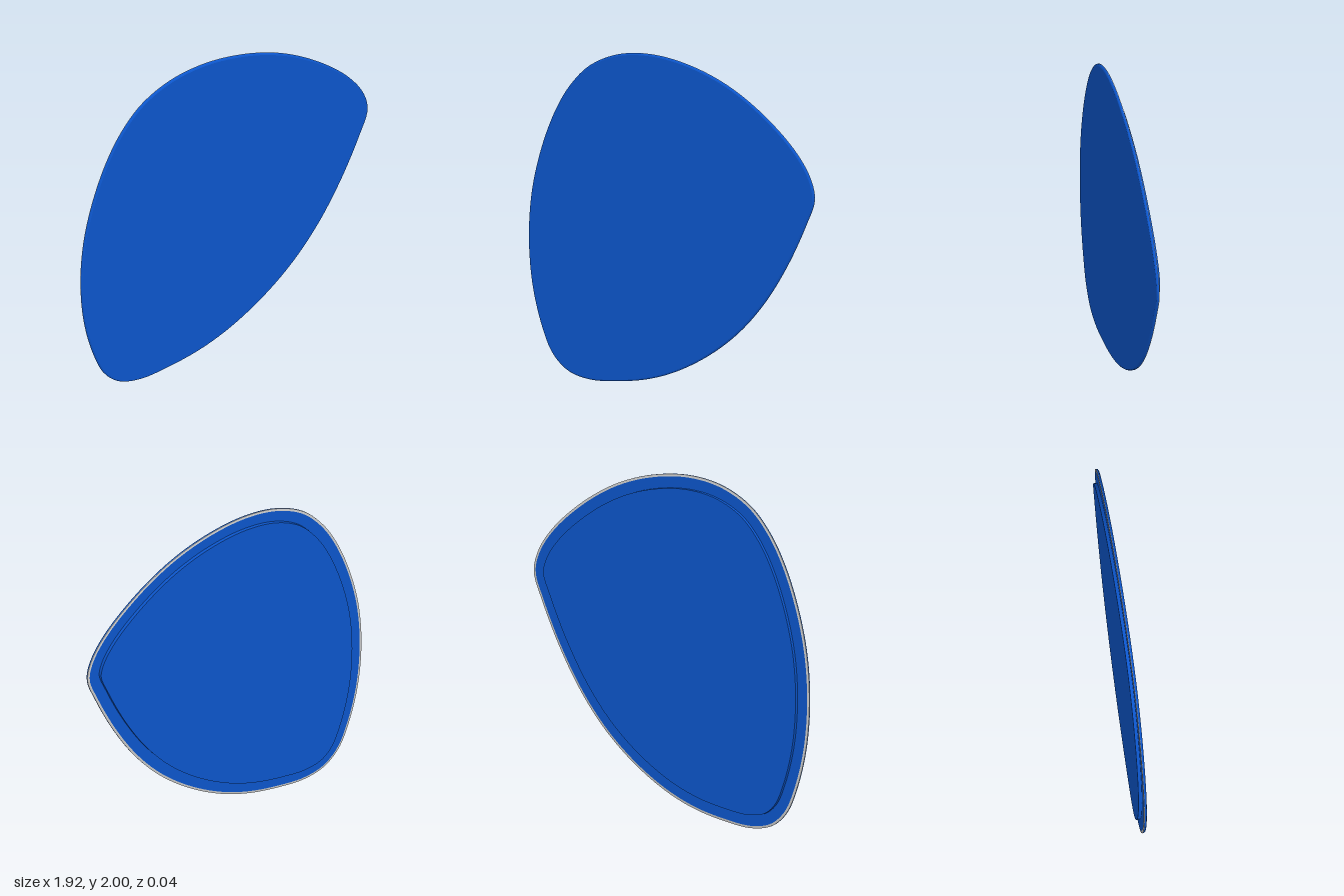
import * as THREE from 'three';
import { mergeGeometries } from 'three/addons/utils/BufferGeometryUtils.js';

// Rounded triangular outline, counterclockwise from the front
const OUTLINE = [
  [-0.13, 2.0], [-0.36, 1.965], [-0.55, 1.87], [-0.68, 1.735], [-0.78, 1.57], [-0.875, 1.33],
  [-0.94, 1.06], [-0.96, 0.78], [-0.935, 0.5], [-0.87, 0.26], [-0.8, 0.115], [-0.7, 0.03],
  [-0.56, 0.0], [-0.38, 0.017], [-0.17, 0.062], [0.03, 0.14], [0.25, 0.272], [0.45, 0.44],
  [0.62, 0.64], [0.77, 0.88], [0.9, 1.15], [0.957, 1.31], [0.93, 1.43], [0.83, 1.575],
  [0.62, 1.755], [0.38, 1.893], [0.13, 1.973],
];
const N = 180;
const CENTRE = 'centre';

const curve = new THREE.CatmullRomCurve3(
  OUTLINE.map(([x, y]) => new THREE.Vector3(x, y, 0)), true, 'centripetal');
const samples = Array.from({ length: N }, (_, i) => ({
  p: curve.getPointAt(i / N), t: curve.getTangentAt(i / N),
}));

// The outline moved inward by an inset (or collapsed to the middle) at depth z
function ring(inset, z) {
  return samples.flatMap(({ p, t }) => inset === CENTRE
    ? [-0.1, 1.05, z]
    : [p.x - t.y * inset, p.y + t.x * inset, z]);
}

// Skin through rings ordered front to back; each band keeps its own crisp normals
function skin(profile) {
  const bands = [];
  for (let k = 0; k < profile.length - 1; k++) {
    const index = [];
    for (let i = 0; i < N; i++) {
      const j = (i + 1) % N;
      if (profile[k + 1][0] !== CENTRE) index.push(i, N + i, N + j);
      if (profile[k][0] !== CENTRE) index.push(i, N + j, j);
    }
    const g = new THREE.BufferGeometry();
    g.setAttribute('position', new THREE.Float32BufferAttribute(
      [...ring(...profile[k]), ...ring(...profile[k + 1])], 3));
    g.setIndex(index);
    g.computeVertexNormals();
    bands.push(g);
  }
  return mergeGeometries(bands);
}

export function createModel() {
  const group = new THREE.Group();
  const blue = new THREE.MeshStandardMaterial({ color: 0x0c56cc });
  const grey = new THREE.MeshStandardMaterial({ color: 0xcccccc });
  const add = (name, profile, material) => {
    const mesh = new THREE.Mesh(skin(profile), material);
    mesh.name = name;
    group.add(mesh);
  };

  // Front panel with a softened front edge
  add('frontPanel', [
    [CENTRE, 0.019], [0.009, 0.019], [0.003, 0.016], [0, 0.011], [0, 0.006],
  ], blue);
  // Thin trim around the rear edge
  add('edgeTrim', [[0, 0.006], [0, 0.003], [0.014, 0.001]], grey);
  // Flat rear border of the panel
  add('rearBorder', [[0.014, 0.001], [CENTRE, 0.001]], blue);
  // Smaller raised plate on the back
  add('backPlate', [[0.08, 0.001], [0.08, -0.019], [CENTRE, -0.019]], blue);
  return group;
}
